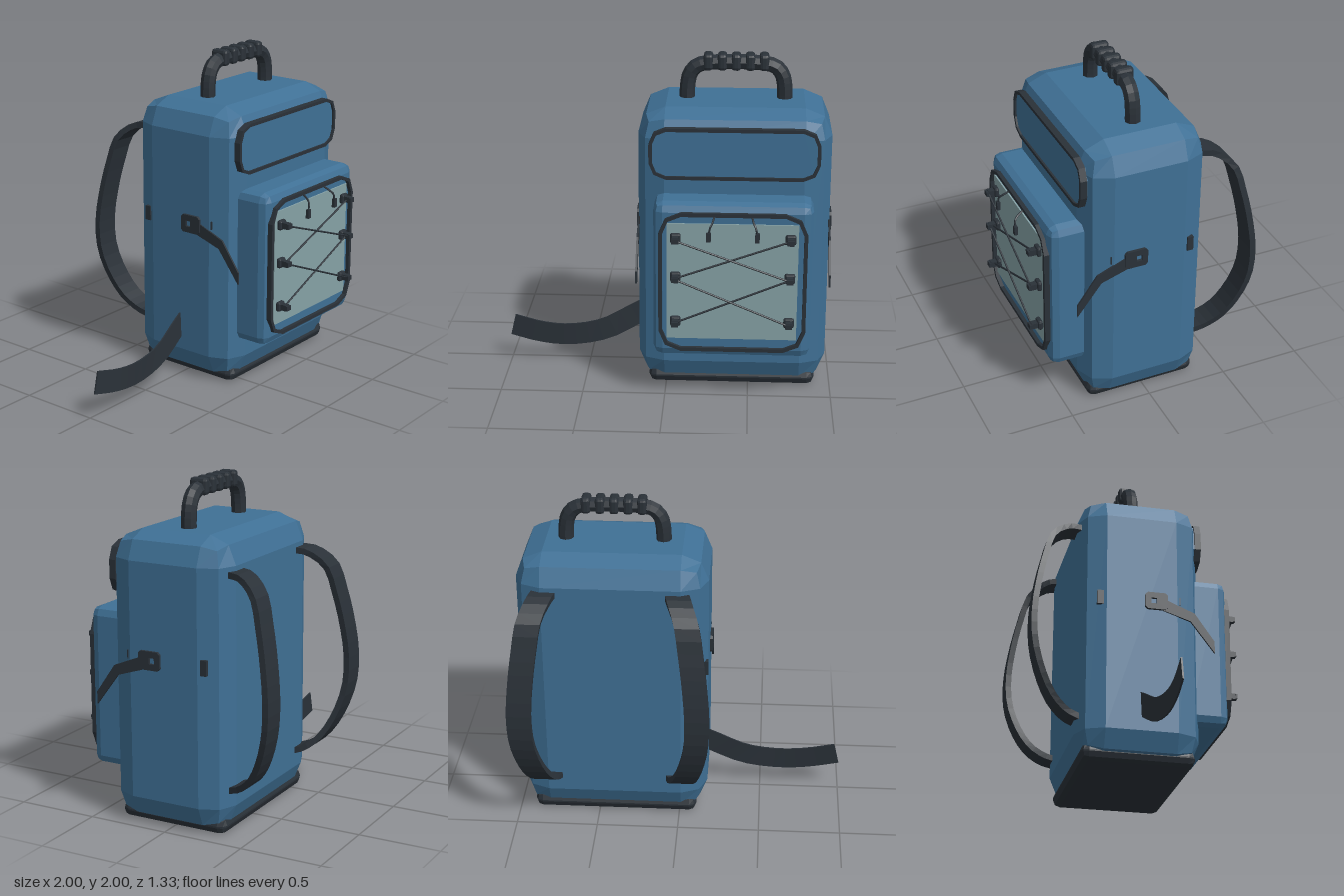
import * as THREE from 'three';
import { RoundedBoxGeometry } from 'three/addons/geometries/RoundedBoxGeometry.js';

const mat = (color) => new THREE.MeshStandardMaterial({ color, flatShading: true });
const V = (x, y, z) => new THREE.Vector3(x, y, z);

export function createModel() {
  const model = new THREE.Group();
  model.name = 'backpack';
  // The pack sits off-centre because a loose belt trails to one side
  const pack = new THREE.Group();
  pack.name = 'pack';
  pack.position.x = 0.4;
  model.add(pack);

  const blue = mat(0x3f7095), dark = mat(0x2a3138), pale = mat(0x86a2a6);

  const add = (name, geometry, material, x = 0, y = 0, z = 0) => {
    const mesh = new THREE.Mesh(geometry, material);
    mesh.name = name;
    mesh.position.set(x, y, z);
    pack.add(mesh);
    return mesh;
  };
  const box = (w, h, d) => new THREE.BoxGeometry(w, h, d);

  // Chamfered rectangle outline, two facets per corner
  const roundedPoints = (w, h, r, n = 2) => {
    const pts = [];
    for (let c = 0; c < 4; c++) {
      const cx = (c === 0 || c === 3 ? 1 : -1) * (w / 2 - r);
      const cy = (c < 2 ? 1 : -1) * (h / 2 - r);
      for (let i = 0; i <= n; i++) {
        const a = (c + i / n) * Math.PI / 2;
        pts.push(new THREE.Vector2(cx + r * Math.cos(a), cy + r * Math.sin(a)));
      }
    }
    return pts;
  };
  const plate = (pts, depth, hole) => {
    const shape = new THREE.Shape(pts);
    if (hole) shape.holes.push(new THREE.Path(hole));
    return new THREE.ExtrudeGeometry(shape, { depth, bevelEnabled: false });
  };
  const ring = (w, h, r, band, depth) =>
    plate(roundedPoints(w, h, r), depth, roundedPoints(w - 2 * band, h - 2 * band, r - band));

  // Rectangular band swept along a curve: size a along a fixed axis, b across it
  const ribbon = (points, axis, a, b, n = 14) => {
    const curve = new THREE.CatmullRomCurve3(points);
    const pos = [], index = [];
    for (let i = 0; i <= n; i++) {
      const p = curve.getPoint(i / n);
      const side = curve.getTangent(i / n).cross(axis).normalize();
      for (const [s, t] of [[-1, -1], [1, -1], [1, 1], [-1, 1]]) {
        const q = p.clone().addScaledVector(axis, s * a / 2).addScaledVector(side, t * b / 2);
        pos.push(q.x, q.y, q.z);
      }
      if (i === n) continue;
      for (let k = 0; k < 4; k++) {
        const p0 = i * 4 + k, p1 = i * 4 + (k + 1) % 4;
        index.push(p0, p1, p0 + 4, p1, p1 + 4, p0 + 4);
      }
    }
    const e = n * 4;
    index.push(0, 2, 1, 0, 3, 2, e, e + 1, e + 2, e, e + 2, e + 3);
    const g = new THREE.BufferGeometry();
    g.setAttribute('position', new THREE.Float32BufferAttribute(pos, 3));
    g.setIndex(index);
    g.computeVertexNormals();
    return g;
  };
  const strapMat = dark.clone();
  strapMat.side = THREE.DoubleSide;

  // Main bag and base
  add('body', new RoundedBoxGeometry(1.14, 1.72, 0.76, 1, 0.16), blue, 0, 0.87, 0.01);
  add('base', new RoundedBoxGeometry(1.01, 0.1, 0.69, 1, 0.045), dark, 0, 0.05, 0.008);

  // Upper flap pocket with piping
  add('upperPocket', plate(roundedPoints(0.98, 0.28, 0.09), 0.053), blue, 0, 1.49, 0.34);
  add('upperPocketPiping', ring(1.0, 0.31, 0.1, 0.02, 0.04), dark, 0, 1.49, 0.365);

  // Front pocket with piping and pale panel
  add('frontPocket', new RoundedBoxGeometry(0.93, 0.965, 0.3, 1, 0.055), blue, 0, 0.765, 0.425);
  add('frontPocketPiping', ring(0.865, 0.865, 0.13, 0.022, 0.045), dark, 0, 0.765, 0.553);
  add('frontPanel', box(0.765, 0.72, 0.02), pale, -0.003, 0.77, 0.574);

  // Cord hooks
  const rows = [1.045, 0.805, 0.525];
  for (const y of rows) for (const s of [-1, 1]) {
    add('hookBase', new RoundedBoxGeometry(0.062, 0.062, 0.03, 1, 0.012), dark, s * 0.333, y, 0.595);
    add('hookStem', box(0.036, 0.036, 0.045), dark, s * 0.333, y, 0.625);
    add('hookCap', box(0.04, 0.03, 0.014), dark, s * 0.333, y, 0.653);
  }

  // Criss-cross cords
  for (let i = 0; i < 2; i++) for (const s of [-1, 1]) {
    const z = s < 0 ? 0.643 : 0.623;
    const line = new THREE.LineCurve3(V(s * 0.333, rows[i], z), V(-s * 0.333, rows[i + 1], z));
    add('cord', new THREE.TubeGeometry(line, 1, 0.006, 6), dark);
  }

  // Zip pulls hanging from the piping
  for (const s of [-1, 1]) {
    const path = new THREE.CatmullRomCurve3([
      V(s * 0.108, 1.18, 0.585), V(s * 0.118, 1.155, 0.63), V(s * 0.13, 1.135, 0.65), V(s * 0.14, 1.09, 0.652)]);
    add('zipCord', new THREE.TubeGeometry(path, 8, 0.006, 6), dark);
    add('zipTag', box(0.026, 0.055, 0.02), dark, s * 0.14, 1.075, 0.653);
  }

  // Carry handle with grip ribs
  const half = [[0.29, 1.68], [0.29, 1.79], [0.275, 1.87], [0.235, 1.92], [0.16, 1.94]];
  const handlePath = new THREE.CatmullRomCurve3([
    ...half.map(([x, y]) => V(-x, y, 0)), ...half.slice().reverse().map(([x, y]) => V(x, y, 0))]);
  add('handle', new THREE.TubeGeometry(handlePath, 28, 0.046, 8), dark);
  for (let i = -2; i <= 2; i++) {
    const rib = new RoundedBoxGeometry(0.056, 0.1, 0.11, 1, 0.018);
    add('gripRib', rib, dark, i * 0.083, 1.95, 0);
  }

  // Shoulder straps, flaring outward as they leave the back (z, y)
  const profile = [[-0.33, 1.525], [-0.43, 1.515], [-0.535, 1.43], [-0.585, 1.27], [-0.625, 1.08],
    [-0.65, 0.87], [-0.64, 0.68], [-0.585, 0.5], [-0.51, 0.37], [-0.42, 0.295], [-0.33, 0.265]];
  for (const s of [-1, 1]) {
    const pts = profile.map(([z, y]) => {
      const d = Math.max(0, -z - 0.35);
      return V(s * (0.385 + 0.25 * d + 0.7 * d * d), y, z);
    });
    add('shoulderStrap', ribbon(pts, V(1, 0, 0), 0.145, 0.036, 24), strapMat);
  }

  // Side straps, buckles and tabs; outlines drawn as (z, y)
  const v2 = (list) => list.map(([x, y]) => new THREE.Vector2(x, y));
  const sideStrap = v2([[0.14, 0.95], [0.31, 0.895], [0.457, 0.7], [0.457, 0.775], [0.335, 0.95], [0.14, 1.03]]);
  const buckle = roundedPoints(0.14, 0.11, 0.015, 1);
  const buckleHole = v2([[-0.035, -0.018], [0.0, -0.018], [0.0, 0.018], [-0.035, 0.018]]);
  const sidePlate = (pts, t, hole) => plate(pts, t, hole).translate(0, 0, -t / 2).rotateY(-Math.PI / 2);
  for (const s of [-1, 1]) {
    add('sideStrap', sidePlate(sideStrap, 0.012), dark, s * 0.572);
    add('sideBuckle', sidePlate(buckle, 0.03, buckleHole), dark, s * 0.572, 1.008, 0.097);
    add('sideTab', box(0.03, 0.09, 0.038), dark, s * 0.557, 1.007, -0.248);
    add('sideStitch', box(0.02, 0.05, 0.006), dark, s * 0.56, 1.025, 0.247);
  }

  // Loose belt trailing from one side
  const belt = [V(-0.5, 0.365, 0), V(-0.6, 0.315, 0.01), V(-0.8, 0.215, 0.035), V(-1.02, 0.178, 0.05),
    V(-1.2, 0.19, 0.05), V(-1.385, 0.233, 0.04)];
  add('looseBelt', ribbon(belt, V(0, 0, 1), 0.01, 0.14), strapMat);

  return model;
}
